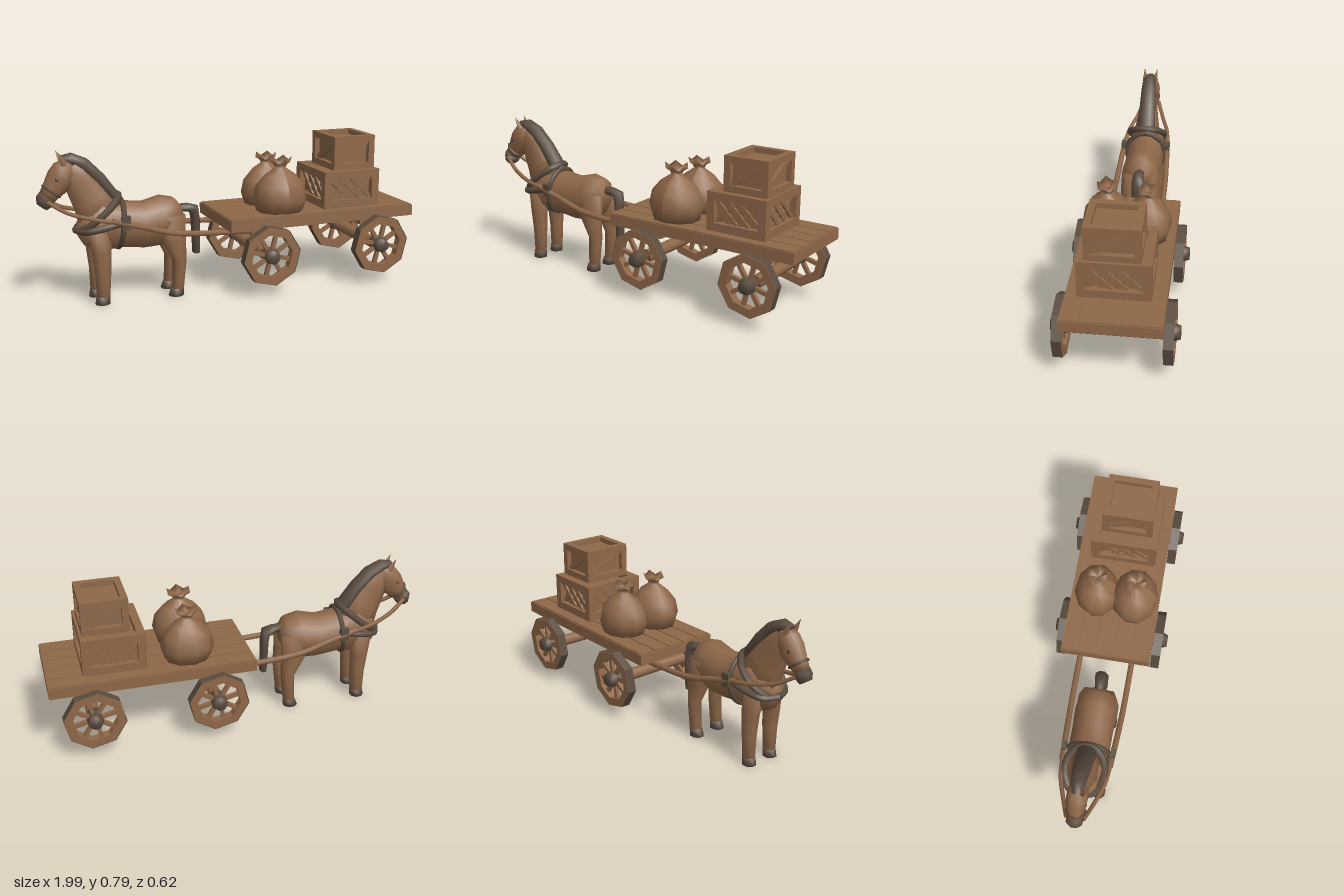
import * as THREE from 'three';

const wood = new THREE.MeshStandardMaterial({ color: 0x8f6849, side: THREE.DoubleSide });
wood.name = 'warm brown';
const dark = new THREE.MeshStandardMaterial({ color: 0x5a4c3f, side: THREE.DoubleSide });
dark.name = 'dark grey brown';

const V = (x, y, z) => new THREE.Vector3(x, y, z);

function add(parent, name, geometry, material, x = 0, y = 0, z = 0) {
  const mesh = new THREE.Mesh(geometry, material);
  mesh.name = name;
  mesh.position.set(x, y, z);
  parent.add(mesh);
  return mesh;
}

const box = (parent, name, w, h, d, x, y, z, material = wood) =>
  add(parent, name, new THREE.BoxGeometry(w, h, d), material, x, y, z);

// Skin over elliptical rings: [x, y, z, half height, half width], facing angle in degrees
function loft(rings, degrees, n = 8) {
  const pos = [], index = [];
  rings.forEach(([x, y, z, a, b, own], i) => {
    const t = THREE.MathUtils.degToRad((own ?? degrees) + 90);
    for (let j = 0; j < n; j++) {
      const k = (j + 0.5) / n * Math.PI * 2, c = Math.cos(k) * a * 1.06;
      pos.push(x + Math.cos(t) * c, y + Math.sin(t) * c, z + Math.sin(k) * b * 1.06);
      if (i === rings.length - 1) continue;
      const p = i * n + j, q = i * n + (j + 1) % n;
      index.push(p, q, p + n, q, q + n, p + n);
    }
  });
  const last = (rings.length - 1) * n, c0 = pos.length / 3;
  pos.push(...rings[0].slice(0, 3), ...rings[rings.length - 1].slice(0, 3));
  for (let j = 0; j < n; j++) {
    const k = (j + 1) % n;
    index.push(c0, k, j, c0 + 1, last + j, last + k);
  }
  const g = new THREE.BufferGeometry();
  g.setAttribute('position', new THREE.Float32BufferAttribute(pos, 3));
  g.setIndex(index);
  g.computeVertexNormals();
  return g;
}

const tube = (points, r, closed = false) =>
  new THREE.TubeGeometry(new THREE.CatmullRomCurve3(points, closed), 28, r, 6, closed);

function makeHorse() {
  const horse = new THREE.Group();
  horse.name = 'horse';
  add(horse, 'body', loft([
    [-0.80, 0.385, 0, 0.03, 0.03], [-0.77, 0.39, 0, 0.085, 0.07], [-0.68, 0.405, 0, 0.135, 0.1],
    [-0.58, 0.395, 0, 0.115, 0.1], [-0.46, 0.38, 0, 0.115, 0.1], [-0.36, 0.395, 0, 0.125, 0.102],
    [-0.29, 0.41, 0, 0.095, 0.09], [-0.255, 0.415, 0, 0.045, 0.05]], 0, 10), wood);
  add(horse, 'neck', loft([
    [-0.67, 0.44, 0, 0.13, 0.08], [-0.72, 0.54, 0, 0.105, 0.06],
    [-0.775, 0.63, 0, 0.085, 0.045], [-0.83, 0.705, 0, 0.06, 0.04]], 124), wood);
  add(horse, 'head', loft([
    [-0.825, 0.725, 0, 0.035, 0.035], [-0.85, 0.69, 0, 0.062, 0.05], [-0.875, 0.645, 0, 0.07, 0.052],
    [-0.925, 0.585, 0, 0.048, 0.04], [-0.945, 0.56, 0, 0.042, 0.036]], -126), wood);
  add(horse, 'muzzle', loft([
    [-0.943, 0.563, 0, 0.043, 0.037], [-0.96, 0.54, 0, 0.044, 0.042], [-0.972, 0.515, 0, 0.028, 0.032]], -126), dark);
  add(horse, 'mane', loft([
    [-0.87, 0.748, 0, 0.016, 0.022, 20], [-0.82, 0.745, 0, 0.03, 0.036, -10], [-0.755, 0.712, 0, 0.034, 0.042, -35],
    [-0.685, 0.64, 0, 0.034, 0.045, -55], [-0.62, 0.55, 0, 0.034, 0.05, -50], [-0.57, 0.515, 0, 0.015, 0.03, -40]], 0), dark);
  add(horse, 'tail', loft([
    [-0.27, 0.45, 0, 0.02, 0.022, 0], [-0.215, 0.448, 0, 0.022, 0.03, 0], [-0.18, 0.435, 0, 0.028, 0.034, -45],
    [-0.172, 0.38, 0, 0.022, 0.034, -88], [-0.168, 0.2, 0, 0.018, 0.028, -88]], 0), dark);

  for (const s of [-1, 1]) {
    const z = s * 0.07;
    add(horse, 'frontLeg', loft([
      [-0.70, 0.38, z * 0.85, 0.06, 0.042], [-0.695, 0.27, z, 0.047, 0.038],
      [-0.69, 0.16, z, 0.039, 0.034], [-0.692, 0.04, z, 0.033, 0.03]], -90), wood);
    add(horse, 'frontHoof', loft([[-0.692, 0.04, z, 0.034, 0.031], [-0.697, 0, z, 0.036, 0.034]], -90), dark);
    add(horse, 'hindLeg', loft([
      [-0.325, 0.43, z * 0.85, 0.075, 0.042], [-0.315, 0.3, z, 0.063, 0.04],
      [-0.285, 0.19, z, 0.036, 0.034], [-0.295, 0.04, z, 0.03, 0.03]], -90), wood);
    add(horse, 'hindHoof', loft([[-0.297, 0.04, z, 0.032, 0.031], [-0.305, 0, z, 0.038, 0.034]], -90), dark);

    const ear = add(horse, 'ear', new THREE.ConeGeometry(0.02, 0.075, 5), wood, -0.872, 0.755, s * 0.032);
    ear.rotation.set(s * 0.15, 0, 0.45);
    const eye = add(horse, 'eye', new THREE.SphereGeometry(0.011, 6, 4), dark, -0.9, 0.655, s * 0.048);
    eye.scale.z = 0.4;

    // Harness straps and shafts along each flank
    add(horse, 'rein', tube([V(-0.95, 0.545, s * 0.042), V(-0.86, 0.49, s * 0.075),
      V(-0.74, 0.455, s * 0.112), V(-0.6, 0.425, s * 0.125)], 0.011), wood);
    add(horse, 'breastStrap', tube([V(-0.81, 0.38, 0), V(-0.77, 0.385, s * 0.08),
      V(-0.68, 0.405, s * 0.112), V(-0.58, 0.43, s * 0.115)], 0.017), dark);
    add(horse, 'shaft', tube([V(-0.65, 0.44, s * 0.122), V(-0.5, 0.4, s * 0.13),
      V(-0.32, 0.352, s * 0.137), V(0.12, 0.325, s * 0.14)], 0.015), wood);
    box(horse, 'shaftLoop', 0.045, 0.07, 0.025, -0.58, 0.425, s * 0.125, dark);
  }

  const loop = (fn) => Array.from({ length: 12 }, (_, i) => fn(Math.cos(i * Math.PI / 6), Math.sin(i * Math.PI / 6)));
  add(horse, 'girth', tube(loop((c, s) => V(-0.585 + c * 0.012, 0.4 + c * 0.125, s * 0.108)), 0.014, true), dark);
  add(horse, 'collar', tube(loop((c, s) => V(-0.69 + c * 0.105, 0.465 + c * 0.085, s * 0.1)), 0.018, true), dark);
  add(horse, 'noseband', tube(loop((c, s) => V(-0.922 - c * 0.04, 0.59 + c * 0.03, s * 0.045)), 0.007, true), dark);
  return horse;
}

function makeWheel(x, side) {
  const wheel = new THREE.Group();
  wheel.name = 'wheel';
  wheel.position.set(x, 0.217, side * 0.26);
  wheel.rotation.z = 0.15;
  const ring = (r) => Array.from({ length: 8 }, (_, i) =>
    new THREE.Vector2(Math.cos(i * Math.PI / 4) * r, Math.sin(i * Math.PI / 4) * r));
  const shape = new THREE.Shape(ring(0.157));
  shape.holes.push(new THREE.Path(ring(0.115)));
  add(wheel, 'rim', new THREE.ExtrudeGeometry(shape, { depth: 0.046, bevelEnabled: false }), wood, 0, 0, -0.023);
  const tire = new THREE.CylinderGeometry(0.16, 0.16, 0.048, 8, 1, true).toNonIndexed();
  tire.computeVertexNormals();
  tire.rotateX(Math.PI / 2);
  tire.rotateZ(Math.PI / 2);
  add(wheel, 'tire', tire, dark);
  for (let i = 0; i < 8; i++) {
    const a = (i + 0.5) * Math.PI / 4;
    box(wheel, 'spoke', 0.1, 0.02, 0.02, Math.cos(a) * 0.075, Math.sin(a) * 0.075, 0).rotation.z = a;
  }
  // Hub: wide at the wheel, narrow outside
  const hub = new THREE.LatheGeometry([[0, -0.05], [0.036, -0.05], [0.042, -0.025], [0.042, 0.025], [0.033, 0.05], [0, 0.05]]
    .map(([r, h]) => new THREE.Vector2(r, h)), 8);
  hub.rotateX(side * Math.PI / 2);
  add(wheel, 'hub', hub, dark);
  return wheel;
}

// Framed crate with recessed panels; brace(face, width, height) fills each side
function makeCrate(name, w, h, d, t, brace) {
  const crate = new THREE.Group();
  crate.name = name;
  const inset = t * 0.8;
  box(crate, 'panels', w - inset * 2, h - inset * 2, d - inset * 2, 0, 0, 0);
  for (const a of [-1, 1]) for (const b of [-1, 1]) {
    box(crate, 'railX', w, t, t, 0, a * (h - t) / 2, b * (d - t) / 2);
    box(crate, 'post', t, h, t, a * (w - t) / 2, 0, b * (d - t) / 2);
    box(crate, 'railZ', t, t, d, a * (w - t) / 2, b * (h - t) / 2, 0);
  }
  for (let i = 0; i < 4; i++) {
    const face = new THREE.Group();
    face.name = 'sideBraces';
    face.rotation.y = i * Math.PI / 2;
    const [fw, fd] = i % 2 ? [d, w] : [w, d];
    brace(face, fw - t * 2, h - t * 2, fd / 2 - inset * 0.75);
    crate.add(face);
  }
  return crate;
}

function lattice(face, w, h, z) {
  for (const s of [-1, 1]) for (const u of [-0.27, 0, 0.27])
    box(face, 'slat', 0.02, h * 1.5, 0.012, u * w, 0, z + s * 0.003).rotation.z = s * 0.8;
}

function diagonal(face, w, h, z) {
  box(face, 'brace', Math.hypot(w, h) + 0.01, 0.028, 0.018, 0, 0, z).rotation.z = Math.atan2(h, w);
}

function makeSack(x, z, scale, turn) {
  const g = new THREE.LatheGeometry([[0, 0], [0.125, 0], [0.147, 0.07], [0.132, 0.14], [0.085, 0.195], [0.03, 0.232],
    [0.036, 0.25], [0.062, 0.285], [0.02, 0.262], [0, 0.255]].map(([r, y]) => new THREE.Vector2(r, y)), 10);
  // Gathered points around the open mouth
  const p = g.attributes.position;
  for (let i = 0; i < p.count; i++)
    if (p.getY(i) > 0.28) p.setY(i, Math.floor(i / 10) % 2 ? 0.265 : 0.29);
  g.computeVertexNormals();
  const sack = add(new THREE.Group(), 'sack', g, wood, x, 0.412, z);
  sack.rotation.y = turn;
  sack.scale.set(scale, scale, scale * 0.86);
  return sack;
}

function makeCart() {
  const cart = new THREE.Group();
  cart.name = 'cart';
  box(cart, 'bed', 1.06, 0.056, 0.476, 0.47, 0.38, -0.003);
  for (let i = 0; i < 5; i++)
    box(cart, 'plank', 1.05, 0.006, 0.088, 0.47, 0.411, -0.192 + i * 0.0945);
  for (const x of [0.15, 0.787]) {
    box(cart, 'bolster', 0.13, 0.05, 0.32, x, 0.33, 0);
    const axle = add(cart, 'axle', new THREE.CylinderGeometry(0.033, 0.033, 0.5, 8), wood, x, 0.21, 0);
    axle.rotation.x = Math.PI / 2;
    for (const s of [-1, 1]) cart.add(makeWheel(x, s));
  }
  const low = makeCrate('lowerCrate', 0.325, 0.198, 0.35, 0.042, lattice);
  low.position.set(0.657, 0.513, 0.003);
  const high = makeCrate('upperCrate', 0.24, 0.18, 0.266, 0.034, diagonal);
  high.position.set(0.685, 0.701, 0.01);
  cart.add(low, high, makeSack(0.267, 0.103, 1, 0), makeSack(0.272, -0.1, 0.96, 0.15));
  return cart;
}

export function createModel() {
  const model = new THREE.Group();
  model.name = 'horseAndCart';
  model.add(makeHorse(), makeCart());
  return model;
}
